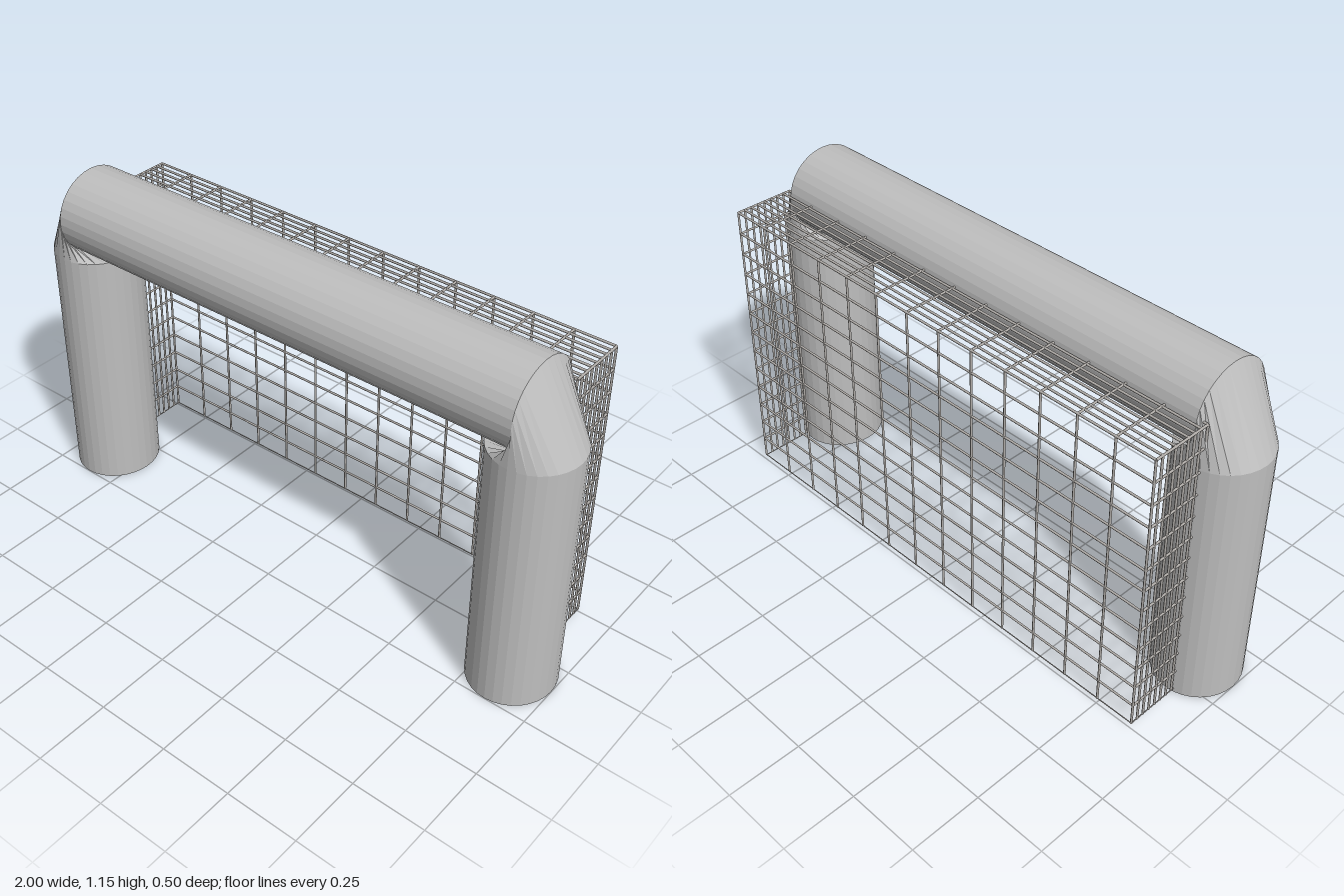
import * as THREE from 'three';

const SIDES = 32;
const POST_X = 0.857, POST_TOP = 0.88, BAR_Y = 1.011, Z = 0.099;
const R = 0.1425, RZ = 0.15;

export function createModel() {
  const model = new THREE.Group();
  model.name = 'goal';
  const frameMat = new THREE.MeshStandardMaterial({ color: 0xbebebe, flatShading: true });
  frameMat.name = 'frame grey';
  const netMat = new THREE.MeshStandardMaterial({ color: 0xb4b0ac });
  netMat.name = 'net grey';

  const add = (parent, geometry, material, name) => {
    const mesh = new THREE.Mesh(geometry, material);
    mesh.name = name;
    parent.add(mesh);
    return mesh;
  };

  // Upright posts, slightly deeper than wide, and the mitred elbows above them
  for (const [s, side] of [[1, 'left'], [-1, 'right']]) {
    const post = new THREE.CylinderGeometry(1, 1, POST_TOP, SIDES);
    post.scale(R, 1, RZ).translate(s * POST_X, POST_TOP / 2, Z);
    add(model, post, frameMat, side + 'Post');
    add(model, elbowGeometry(s), frameMat, side + 'Elbow');
  }

  // Crossbar
  const bar = new THREE.CylinderGeometry(1, 1, POST_X * 2, SIDES);
  bar.rotateZ(Math.PI / 2).scale(1, R, RZ).translate(0, BAR_Y, Z);
  add(model, bar, frameMat, 'crossbar');

  // Net: back, top and side panels of thin wires
  const net = new THREE.Group();
  net.name = 'net';
  model.add(net);
  const X = 0.884, Y0 = 0.015, Y1 = 1.028, Z0 = -0.244, Z1 = -0.034;
  const up = new THREE.Vector3(0, 1, 0);
  const wire = (a, b, name, radius = 0.004) => {
    const from = new THREE.Vector3(...a), dir = new THREE.Vector3(...b).sub(from);
    const geometry = new THREE.CylinderGeometry(radius, radius, dir.length(), 6);
    const mesh = add(net, geometry, netMat, name);
    mesh.position.copy(from).addScaledVector(dir, 0.5);
    mesh.quaternion.setFromUnitVectors(up, dir.normalize());
  };
  const N = 13, M = 8;
  for (let i = 0; i <= N; i++) {
    const x = -X + (2 * X * i) / N;
    const y = Y0 + ((Y1 - Y0) * i) / N;
    const radius = i === 0 ? 0.002 : 0.004;
    wire([x, Y0, Z0], [x, Y1, Z0], 'backUprightWire');
    wire([x, Y1, Z0], [x, Y1, Z1], 'topCrossWire');
    wire([-X, y, Z0], [X, y, Z0], 'backLevelWire', radius);
    if (i < N) for (const s of [-1, 1]) wire([s * X, y, Z0], [s * X, y, Z1], 'sideLevelWire', radius);
  }
  for (let j = 1; j <= M; j++) {
    const z = Z0 + ((Z1 - Z0) * j) / M;
    wire([-X, Y1, z], [X, Y1, z], 'topLongWire');
    for (const s of [-1, 1]) wire([s * X, Y0, z], [s * X, Y1, z], 'sideUprightWire');
  }
  return model;
}

// Surface joining the level ring on a post to the upright ring on the crossbar end
function elbowGeometry(s) {
  const points = [], index = [];
  for (let i = 0; i <= SIDES; i++) {
    const t = (i / SIDES) * Math.PI * 2, c = Math.cos(t), z = Z + RZ * Math.sin(t);
    points.push(s * (POST_X + R * c), POST_TOP, z, s * POST_X, BAR_Y + R * c, z);
    if (i === SIDES) break;
    const a = i * 2, b = a + 1, a1 = a + 2, b1 = a + 3;
    if (s > 0) index.push(a, b, b1, a, b1, a1);
    else index.push(a, b1, b, a, a1, b1);
  }
  const geometry = new THREE.BufferGeometry();
  geometry.setAttribute('position', new THREE.Float32BufferAttribute(points, 3));
  geometry.setIndex(index);
  geometry.computeVertexNormals();
  return geometry;
}
